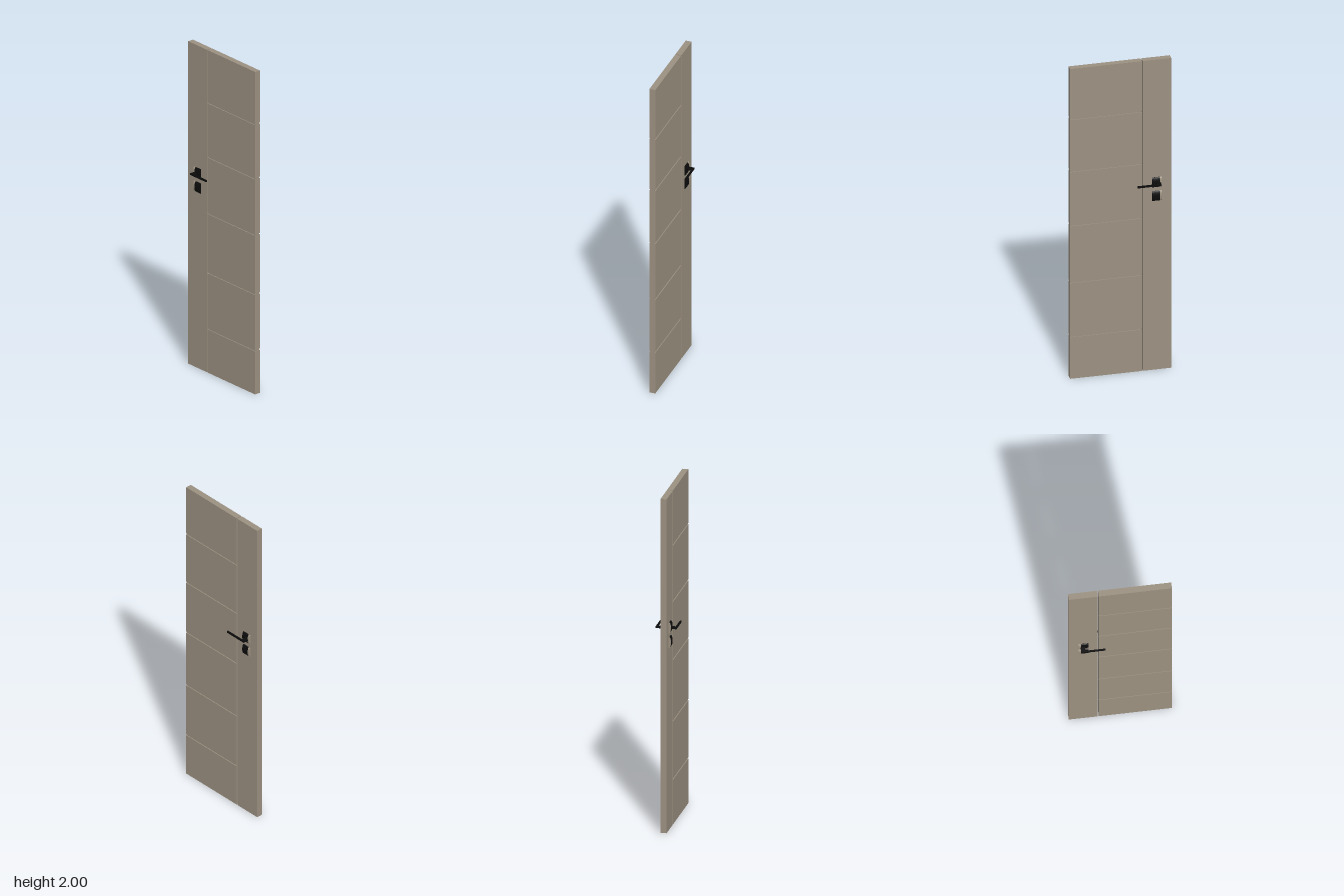
import * as THREE from 'three';

const wood = new THREE.MeshStandardMaterial({ color: 0x9b9080 });
wood.name = 'taupe wood';
const black = new THREE.MeshStandardMaterial({ color: 0x0c0c0c });
black.name = 'black metal';

// Box given by its minimum and maximum corners
function box(parent, name, material, x0, x1, y0, y1, z0, z1) {
  const mesh = new THREE.Mesh(new THREE.BoxGeometry(x1 - x0, y1 - y0, z1 - z0), material);
  mesh.position.set((x0 + x1) / 2, (y0 + y1) / 2, (z0 + z1) / 2);
  mesh.name = name;
  parent.add(mesh);
}

// Arched cover plate: a bowed profile in y-z, extruded along x
function coverPlate(parent, name, material, x0, x1, y) {
  const h = 0.032, bulge = 0.01;
  const shape = new THREE.Shape();
  shape.moveTo(0, -h);
  for (let i = 0; i <= 12; i++) {
    const t = -1 + i / 6;
    shape.lineTo(-0.001 - bulge * Math.sqrt(Math.max(0, 1 - t * t)), t * h);
  }
  shape.lineTo(0, h);
  const geometry = new THREE.ExtrudeGeometry(shape, { depth: x1 - x0, bevelEnabled: false });
  geometry.rotateY(Math.PI / 2);
  const mesh = new THREE.Mesh(geometry, material);
  mesh.position.set(x0, y, 0.018);
  mesh.name = name;
  parent.add(mesh);
}

// Cover plates and lever on the front face
function handleSet() {
  const set = new THREE.Group();
  for (const [name, y] of [['handle', 1.21], ['lock', 1.122]]) {
    coverPlate(set, name + 'PlateEdge', wood, -0.242, -0.229, y);
    coverPlate(set, name + 'Plate', black, -0.229, -0.184, y);
  }
  box(set, 'leverNeck', black, -0.231, -0.206, 1.204, 1.214, 0.018, 0.061);
  box(set, 'leverGrip', black, -0.206, -0.09, 1.204, 1.214, 0.052, 0.061);
  return set;
}

export function createModel() {
  const door = new THREE.Group();
  door.name = 'door';
  const T = 0.018, core = 0.013, left = -0.125, right = 0.297, gap = 0.004;

  // Lock stile, separated from the panels by a narrow slot
  box(door, 'lockStile', wood, -0.298, -0.131, 0, 2, -T, T);

  // Panel core with raised boards on both faces, leaving horizontal grooves
  box(door, 'panelCore', wood, left, right, 0, 2, -core, core);
  const grooves = [0.271, 0.62, 0.988, 1.337, 1.674];
  for (let i = 0; i <= grooves.length; i++) {
    const y0 = i === 0 ? 0 : grooves[i - 1] + gap;
    const y1 = i === grooves.length ? 2 : grooves[i] - gap;
    box(door, 'frontBoard', wood, left, right, y0, y1, core, T);
    box(door, 'backBoard', wood, left, right, y0, y1, -T, -core);
  }

  // Handles on both faces, the back one mirrored in z
  const front = handleSet();
  front.name = 'frontHandle';
  const back = handleSet();
  back.name = 'backHandle';
  back.scale.z = -1;
  door.add(front, back);
  return door;
}
